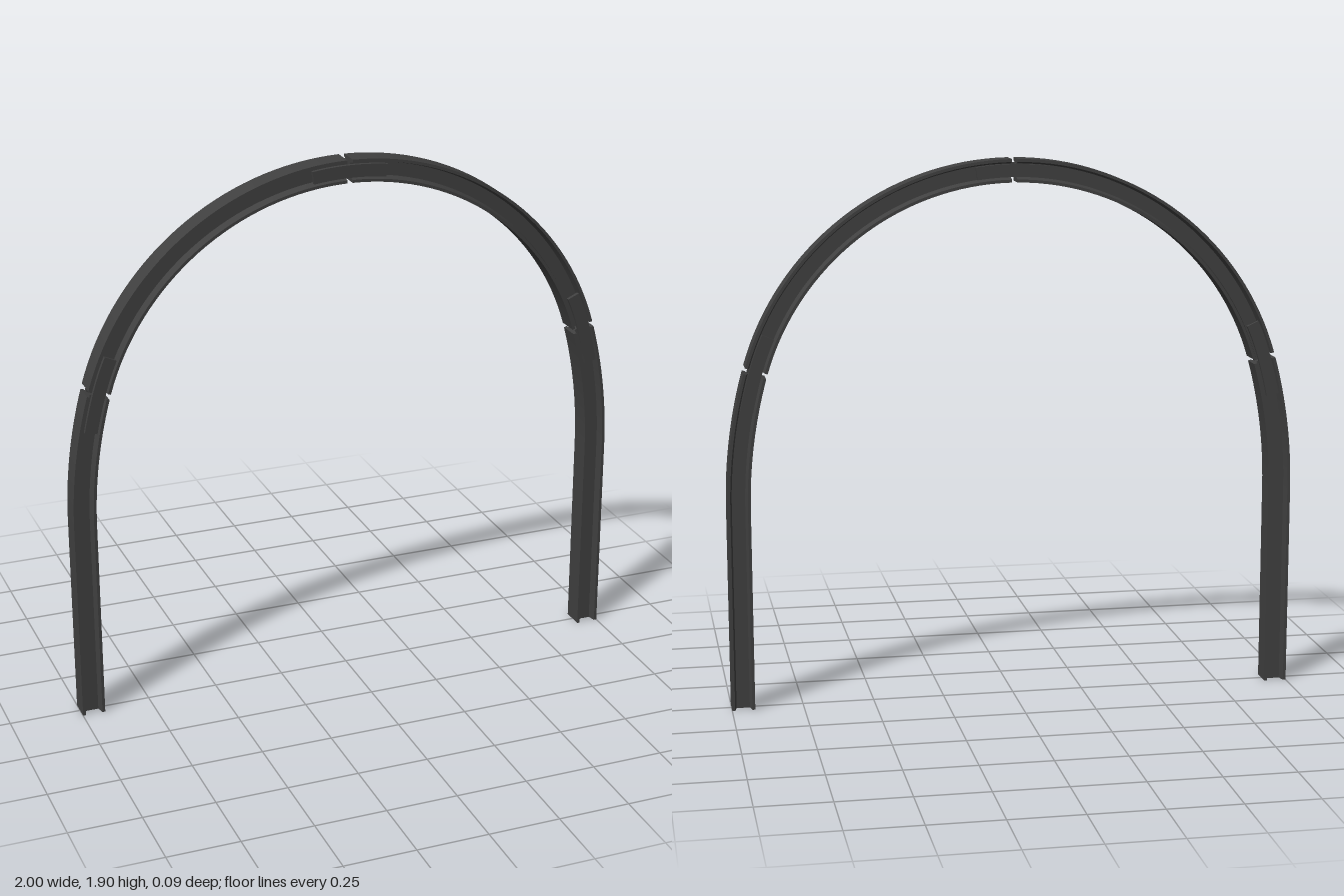
import * as THREE from 'three';
import { toCreasedNormals } from 'three/addons/utils/BufferGeometryUtils.js';

// Outer line of the arch: crown arc, wider haunch arc, straight leg
const CROWN_Y = 0.93, CROWN_R = 0.97, JOINT = THREE.MathUtils.degToRad(74);
const REST = Math.PI / 2 - JOINT;
const HAUNCH_R = (1 - CROWN_R * Math.sin(JOINT)) / (1 - Math.sin(JOINT));
const HAUNCH_X = 1 - HAUNCH_R;
const HAUNCH_Y = CROWN_Y + (CROWN_R - HAUNCH_R) * Math.cos(JOINT);
const CROWN_LEN = CROWN_R * JOINT, HAUNCH_LEN = HAUNCH_R * REST;
const TOTAL = CROWN_LEN + HAUNCH_LEN + HAUNCH_Y;

// Point at signed distance s from the crown, moved v along the outward normal
function archPoint(s, v) {
  const side = Math.sign(s), d = Math.abs(s);
  let x, y;
  if (d <= CROWN_LEN) {
    const a = d / CROWN_R;
    x = Math.sin(a) * (CROWN_R + v);
    y = CROWN_Y + Math.cos(a) * (CROWN_R + v);
  } else if (d <= CROWN_LEN + HAUNCH_LEN) {
    const a = JOINT + (d - CROWN_LEN) / HAUNCH_R;
    x = HAUNCH_X + Math.sin(a) * (HAUNCH_R + v);
    y = HAUNCH_Y + Math.cos(a) * (HAUNCH_R + v);
  } else {
    x = 1 + v;
    y = TOTAL - d;
  }
  return [x * side, y];
}

// I-beam section with tapered flanges: x = radial offset, y = width
const DEPTH = 0.08, HALF = 0.04, WEB = 0.011, TIP = 0.01, ROOT = 0.017;
const beamSection = new THREE.Shape([
  [-DEPTH, -HALF], [-DEPTH + TIP, -HALF], [-DEPTH + ROOT, -WEB],
  [-ROOT, -WEB], [-TIP, -HALF], [0, -HALF],
  [0, HALF], [-TIP, HALF], [-ROOT, WEB],
  [-DEPTH + ROOT, WEB], [-DEPTH + TIP, HALF], [-DEPTH, HALF],
].map(([x, y]) => new THREE.Vector2(x, y)));

// Splice plate section on one side of the beam
function plateSection(side) {
  const a = side * 0.03, b = side * 0.043;
  const lo = Math.min(a, b), hi = Math.max(a, b);
  return new THREE.Shape([[-0.061, lo], [-0.017, lo], [-0.017, hi], [-0.061, hi]]
    .map(([x, y]) => new THREE.Vector2(x, y)));
}

const steel = new THREE.MeshStandardMaterial({ color: 0x404040 });

// Extrude a section straight, then bend it onto the arch
function sweep(name, section, from, to, steps) {
  const geo = new THREE.ExtrudeGeometry(section, { depth: to - from, steps, bevelEnabled: false });
  const p = geo.attributes.position;
  for (let i = 0; i < p.count; i++) {
    const [x, y] = archPoint(from + p.getZ(i), p.getX(i));
    p.setXYZ(i, x, y, p.getY(i));
  }
  geo.deleteAttribute('uv');
  const mesh = new THREE.Mesh(toCreasedNormals(geo, 0.15), steel);
  mesh.name = name;
  return mesh;
}

export function createModel() {
  const group = new THREE.Group();
  group.name = 'steelArch';
  const GAP = 0.01, PLATE = 0.138;

  // Four beam segments with a small gap at every joint
  group.add(sweep('leftRoofBeam', beamSection, GAP, CROWN_LEN - GAP, 32));
  group.add(sweep('rightRoofBeam', beamSection, -CROWN_LEN + GAP, -GAP, 32));
  group.add(sweep('leftLegBeam', beamSection, CROWN_LEN + GAP, TOTAL, 40));
  group.add(sweep('rightLegBeam', beamSection, -TOTAL, -CROWN_LEN - GAP, 40));

  // Pairs of splice plates bridging the joints, front and back
  const joints = { crown: 0, leftHaunch: CROWN_LEN, rightHaunch: -CROWN_LEN };
  for (const [name, s] of Object.entries(joints)) {
    group.add(sweep(name + 'FrontPlate', plateSection(1), s - PLATE, s + PLATE, 10));
    group.add(sweep(name + 'BackPlate', plateSection(-1), s - PLATE, s + PLATE, 10));
  }
  return group;
}
